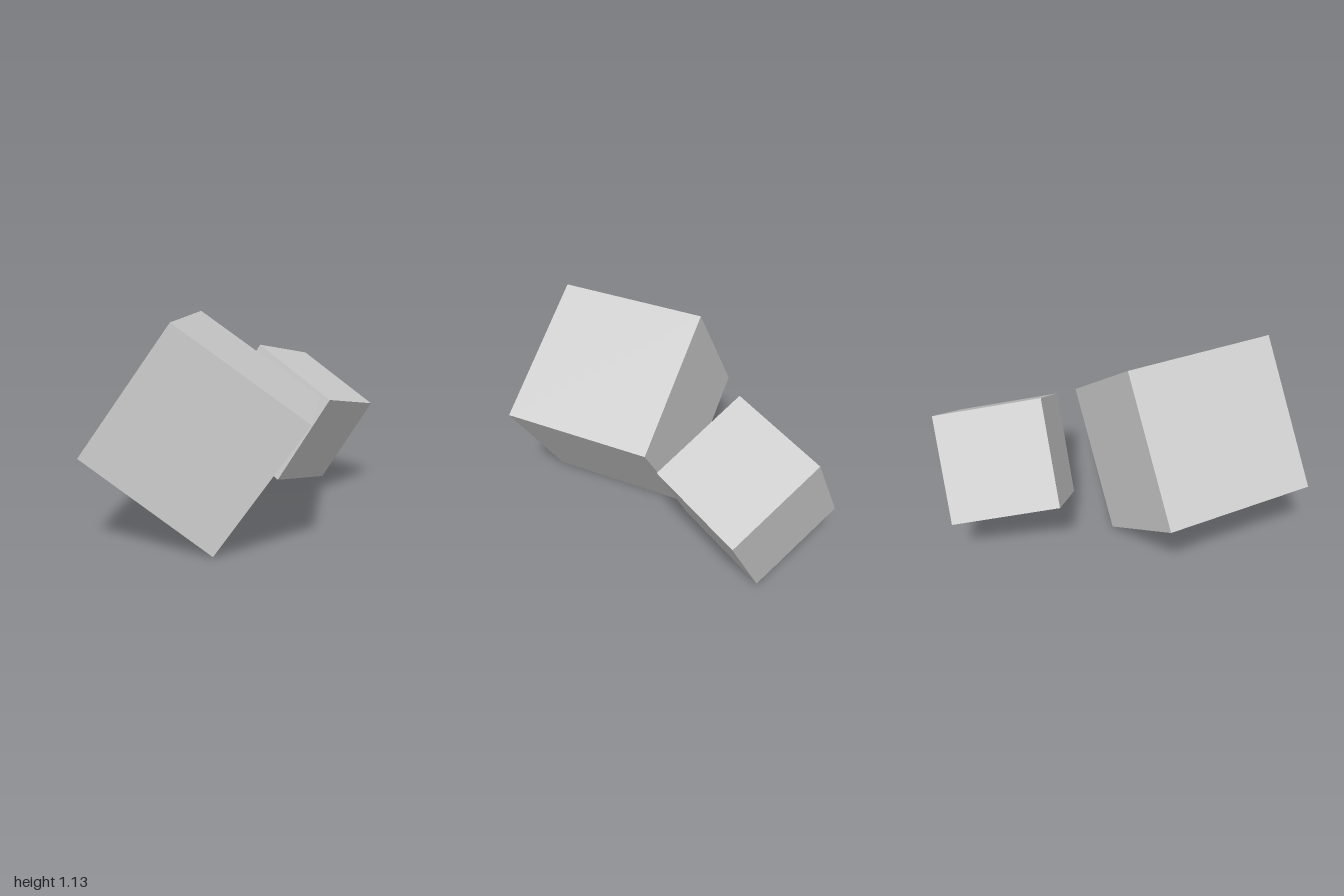
import * as THREE from 'three';

const grey = new THREE.MeshStandardMaterial({ color: 0xcccccc, side: THREE.DoubleSide });
grey.name = 'lightGrey';

// A cube shell without its underside, tilted so its local x and y follow the given axes
function openCube(name, size, centre, xAxis, yAxis) {
  const geometry = new THREE.BoxGeometry(size, size, size);
  const index = Array.from(geometry.index.array);
  index.splice(18, 6); // drop the -y face
  geometry.setIndex(index);
  geometry.clearGroups();

  const x = new THREE.Vector3(...xAxis).normalize();
  const z = new THREE.Vector3().crossVectors(x, new THREE.Vector3(...yAxis)).normalize();
  const y = new THREE.Vector3().crossVectors(z, x);

  const mesh = new THREE.Mesh(geometry, grey);
  mesh.name = name;
  mesh.quaternion.setFromRotationMatrix(new THREE.Matrix4().makeBasis(x, y, z));
  mesh.position.set(...centre);
  return mesh;
}

export function createModel() {
  const model = new THREE.Group();
  model.name = 'tiltedOpenCubes';
  model.add(
    openCube('largeOpenCube', 0.81, [-0.315, 0.565, 0.065], [1, 0, -1], [1, 2, 1]),
    openCube('smallOpenCube', 0.568, [0.586, 0.478, -0.305], [0.525, -0.1, -0.19], [0.172, 0.485, 0.24]),
  );
  return model;
}
